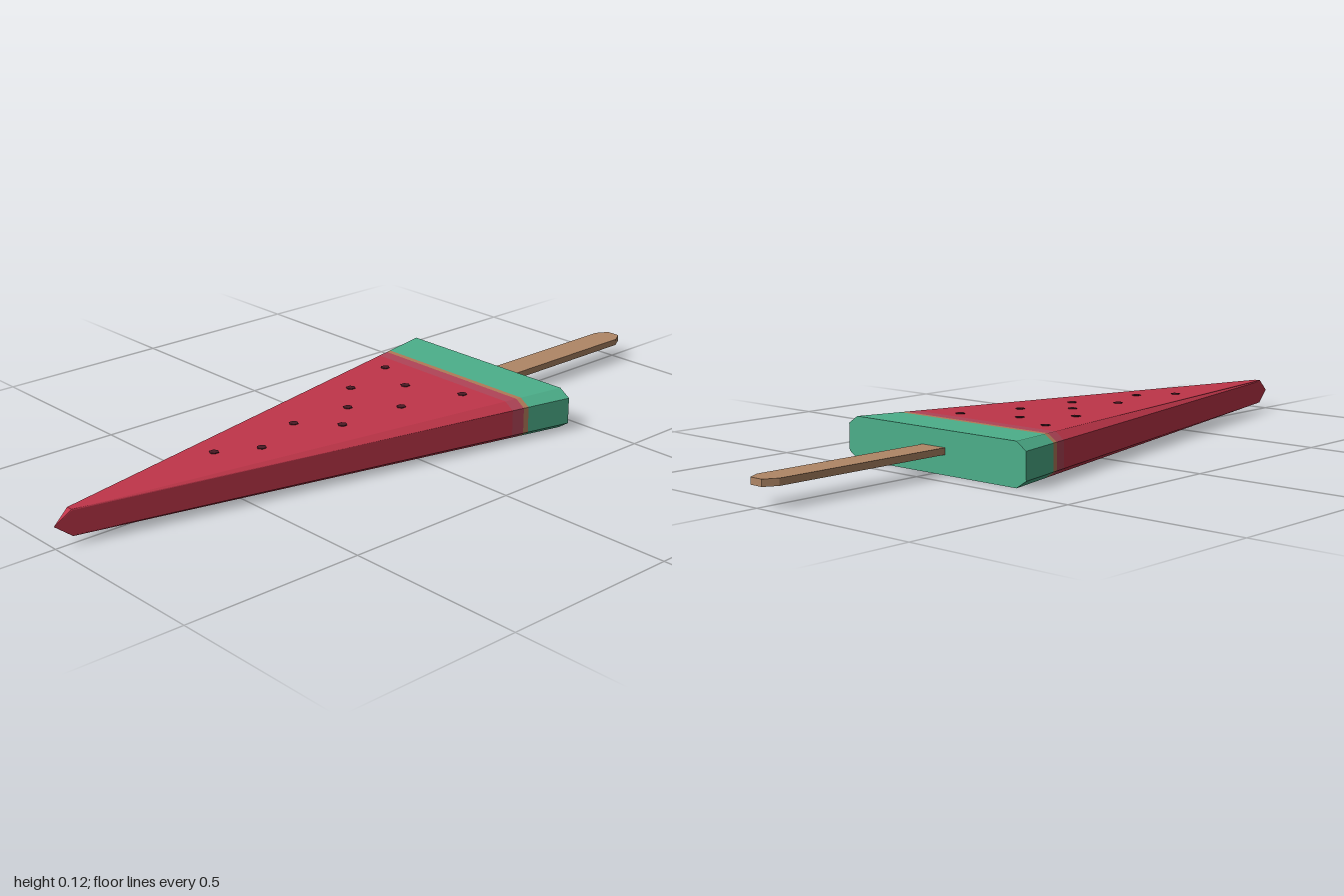
import * as THREE from 'three';

const MID = 0.0575, BACK = -0.44, NOSE = 0.955;

// Bevelled eight-sided cross-section of the wedge at depth z, counterclockwise from the front
function section(z) {
  const k = (1 - z) / (1 - BACK);
  const t = (z - BACK) / (NOSE - BACK);
  const side = 0.315 * k, flat = 0.283 * k;
  const high = THREE.MathUtils.lerp(0.0575, 0.0345, t);
  const low = THREE.MathUtils.lerp(0.0365, 0.032, t);
  return [
    [side, -low], [side, low], [flat, high], [-flat, high],
    [-side, low], [-side, -low], [-flat, -high], [flat, -high],
  ].map(([x, y]) => [x, MID + y, z]);
}

// One slice of the wedge, optionally closed at the back or drawn to a point at the front
function slice(z0, z1, { cap = false, tip = false } = {}) {
  const a = section(z0), b = section(z1), pos = [];
  const tri = (...pts) => pts.forEach((p) => pos.push(...p));
  for (let i = 0; i < 8; i++) {
    const j = (i + 1) % 8;
    tri(a[i], a[j], b[j]);
    tri(a[i], b[j], b[i]);
    if (tip) tri(b[i], b[j], [0, MID, 1]);
    if (cap && i > 0 && i < 7) tri(a[0], a[i + 1], a[i]);
  }
  const geo = new THREE.BufferGeometry();
  geo.setAttribute('position', new THREE.Float32BufferAttribute(pos, 3));
  geo.computeVertexNormals();
  return geo;
}

export function createModel() {
  const group = new THREE.Group();
  const material = (name, color) => {
    const m = new THREE.MeshStandardMaterial({ color });
    m.name = name;
    return m;
  };
  const green = material('rindGreen', 0x4caf8a);
  const tan = material('paleRind', 0xb07a58);
  const pink = material('palePink', 0xb04457);
  const red = material('fleshRed', 0xbf3549);
  const wood = material('stickWood', 0xb08766);
  const dark = material('seedDark', 0x4a1a24);

  const add = (name, geo, mat, parent = group) => {
    const mesh = new THREE.Mesh(geo, mat);
    mesh.name = name;
    parent.add(mesh);
    return mesh;
  };

  // Wedge, from the rind to the pointed flesh
  add('rind', slice(BACK, -0.31, { cap: true }), green);
  add('rindEdge', slice(-0.31, -0.295), tan);
  add('paleFlesh', slice(-0.295, -0.26), pink);
  add('flesh', slice(-0.26, NOSE, { tip: true }), red);

  // Flat stick with clipped end corners
  const outline = new THREE.Shape([
    [-0.04, 0.42], [0.04, 0.42], [0.04, 0.965], [0.02, 1], [-0.02, 1], [-0.04, 0.965],
  ].map(([x, y]) => new THREE.Vector2(x, y)));
  const stickGeo = new THREE.ExtrudeGeometry(outline, { depth: 0.018, bevelEnabled: false });
  stickGeo.rotateX(-Math.PI / 2).translate(0, 0.052, 0);
  add('stick', stickGeo, wood);

  // Seeds set into both broad faces
  const seeds = new THREE.Group();
  seeds.name = 'seeds';
  group.add(seeds);
  const spots = [
    [-0.165, -0.205], [-0.025, -0.15], [0.13, -0.215], [-0.115, -0.03], [0.08, -0.035],
    [-0.015, 0.07], [0.065, 0.16], [-0.03, 0.245], [0.035, 0.405], [-0.025, 0.51],
  ];
  const seedGeo = new THREE.CylinderGeometry(0.013, 0.013, 0.004, 6).toNonIndexed();
  seedGeo.computeVertexNormals();
  for (const [x, z] of spots) {
    const top = section(z)[2][1];
    for (const y of [top, 2 * MID - top]) {
      add('seed', seedGeo, dark, seeds).position.set(x, y, z);
    }
  }
  return group;
}
